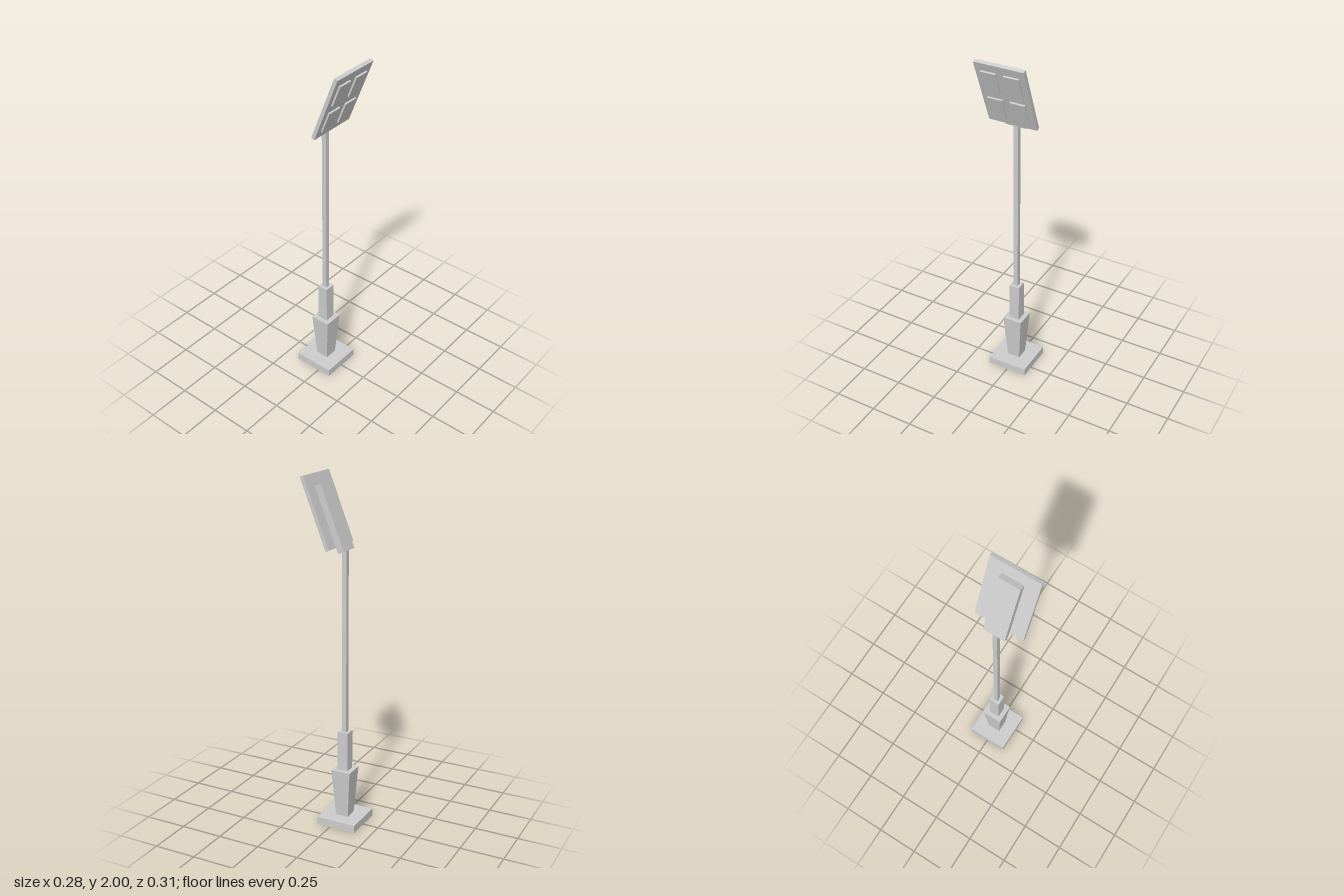
import * as THREE from 'three';

const material = new THREE.MeshStandardMaterial({ color: 0xcccccc, flatShading: true });

function addMesh(parent, name, geometry, x, y, z) {
  const mesh = new THREE.Mesh(geometry, material);
  mesh.name = name;
  mesh.position.set(x, y, z);
  parent.add(mesh);
  return mesh;
}

// Square column between two heights, given half widths at bottom and top
function squareColumn(parent, name, y0, y1, halfBottom, halfTop) {
  const geometry = new THREE.CylinderGeometry(
    halfTop * Math.SQRT2, halfBottom * Math.SQRT2, y1 - y0, 4);
  geometry.rotateY(Math.PI / 4);
  return addMesh(parent, name, geometry, 0, (y0 + y1) / 2, 0);
}

export function createModel() {
  const model = new THREE.Group();
  model.name = 'floodlightMast';

  // Mast: stacked square sections, set slightly behind the centre
  const mast = new THREE.Group();
  mast.name = 'mast';
  mast.position.z = -0.037;
  model.add(mast);
  squareColumn(mast, 'basePlate', 0, 0.045, 0.12, 0.12);
  squareColumn(mast, 'taperedPedestal', 0.045, 0.33, 0.038, 0.058);
  squareColumn(mast, 'sleeve', 0.33, 0.56, 0.031, 0.031);
  squareColumn(mast, 'pole', 0.56, 1.6, 0.0135, 0.0135);

  // Lamp head: leans forward, facing down to the front
  const tilt = 0.3735;
  const head = new THREE.Group();
  head.name = 'lampHead';
  head.position.set(0, 1.807, 0.071);
  head.rotation.x = tilt;
  model.add(head);

  const panelDepth = 0.0215, spineDepth = 0.0365, lampDepth = 0.01;
  addMesh(head, 'panel', new THREE.BoxGeometry(0.284, 0.406, panelDepth), 0, 0, 0);
  addMesh(head, 'backSpine', new THREE.BoxGeometry(0.124, 0.375, spineDepth),
    0, -0.05, -(panelDepth + spineDepth) / 2);

  // Four lamps in a two by two grid
  for (const x of [-0.066, 0.064]) {
    for (const y of [-0.093, 0.088]) {
      addMesh(head, 'lamp', new THREE.BoxGeometry(0.087, 0.132, lampDepth),
        x, y, (panelDepth + lampDepth) / 2);
    }
  }
  return model;
}
